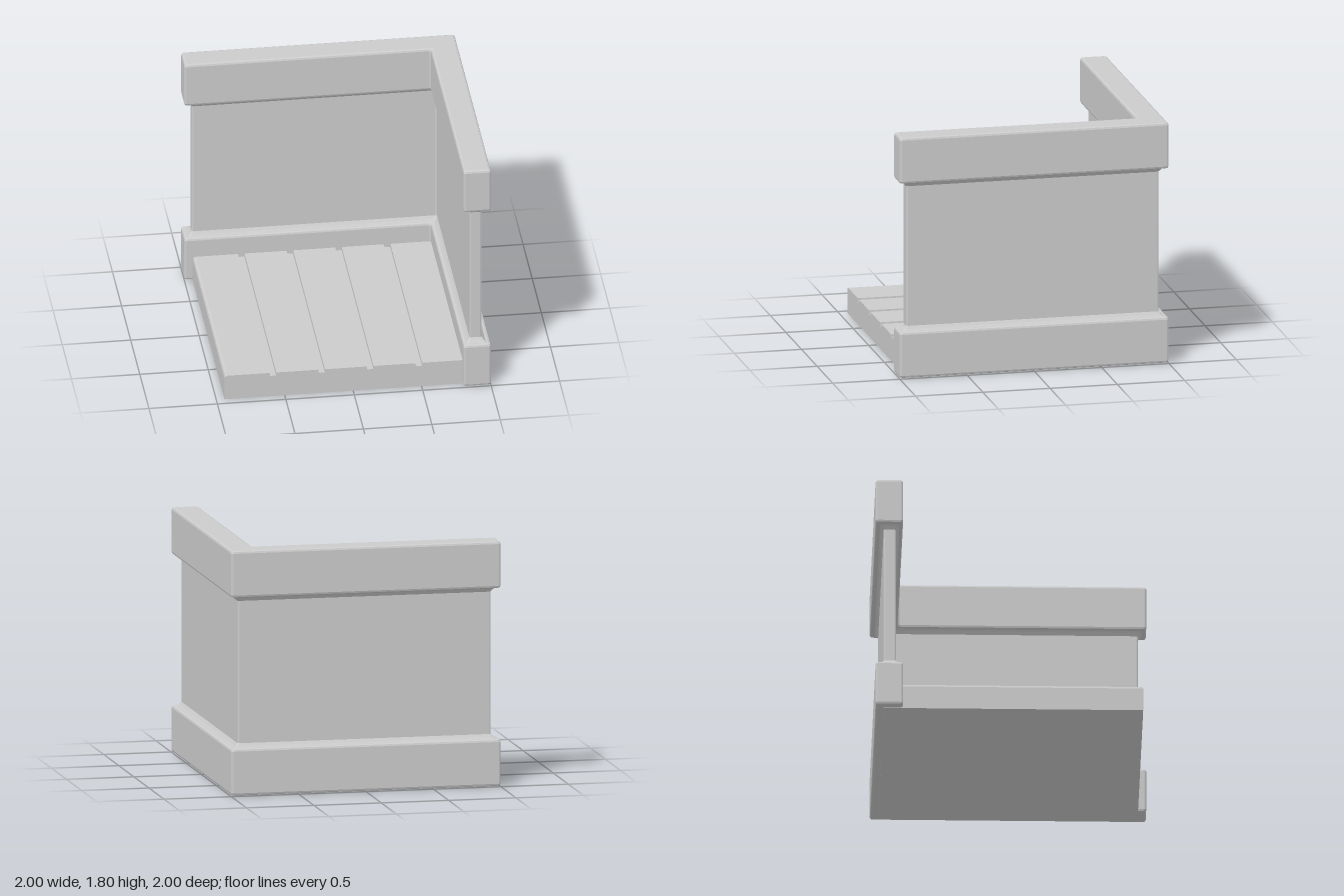
import * as THREE from 'three';

const material = new THREE.MeshStandardMaterial({ color: 0xcccccc, flatShading: true });

// L-shaped outline in x/z, with softened corners; o = outer faces, i = inner faces
function outlineL(o, i, r) {
  const corners = [[-o, -o], [o, -o], [o, o], [i, o], [i, -i], [-o, -i]]
    .map(([x, z]) => new THREE.Vector2(x, z));
  const points = [];
  corners.forEach((p, k) => {
    const u = corners[(k + 5) % 6].clone().sub(p).setLength(r);
    const v = corners[(k + 1) % 6].clone().sub(p).setLength(r);
    points.push(p.clone().add(u));
    points.push(p.clone().addScaledVector(u, 0.29).addScaledVector(v, 0.29));
    points.push(p.clone().add(v));
  });
  return points;
}

// Stack L outlines upwards; each row is [y, outer, inner]
function loftL(name, rows, r) {
  const rings = rows.map(([, o, i]) => outlineL(o, i, r));
  const n = rings[0].length;
  const positions = [];
  const put = (row, k) => positions.push(rings[row][k % n].x, rows[row][0], rings[row][k % n].y);
  for (let row = 0; row < rows.length - 1; row++) {
    for (let k = 0; k < n; k++) {
      put(row, k); put(row + 1, k); put(row + 1, k + 1);
      put(row, k); put(row + 1, k + 1); put(row, k + 1);
    }
  }
  const last = rows.length - 1;
  for (const [a, b, c] of THREE.ShapeUtils.triangulateShape(rings[0], [])) {
    put(0, a); put(0, b); put(0, c);
  }
  for (const [a, b, c] of THREE.ShapeUtils.triangulateShape(rings[last], [])) {
    put(last, a); put(last, c); put(last, b);
  }
  const geometry = new THREE.BufferGeometry();
  geometry.setAttribute('position', new THREE.Float32BufferAttribute(positions, 3));
  geometry.computeVertexNormals();
  const mesh = new THREE.Mesh(geometry, material);
  mesh.name = name;
  return mesh;
}

// Heavy rail with softened upper and lower edges
function rail(name, y0, y1) {
  const soft = 0.018, mid = 0.005;
  return loftL(name, [
    [y0, 1 - soft, 0.8 + soft],
    [y0 + mid, 1 - mid, 0.8 + mid],
    [y0 + soft, 1, 0.8],
    [y1 - soft, 1, 0.8],
    [y1 - mid, 1 - mid, 0.8 + mid],
    [y1, 1 - soft, 0.8 + soft],
  ], 0.015);
}

// Floor slab with a grooved top and a softened left edge
function plankFloor() {
  const top = 0.195, half = 0.94, groove = 0.025;
  const shape = new THREE.Shape();
  shape.moveTo(-half, 0);
  shape.lineTo(half, 0);
  shape.lineTo(half, top);
  for (const x of [0.48, 0.125, -0.23, -0.585]) {
    shape.lineTo(x + 0.024, top);
    shape.lineTo(x + 0.022, top - groove);
    shape.lineTo(x - 0.022, top - groove);
    shape.lineTo(x - 0.024, top);
  }
  shape.lineTo(-half + 0.022, top);
  shape.lineTo(-half + 0.006, top - 0.007);
  shape.lineTo(-half, top - 0.022);
  shape.closePath();
  const geometry = new THREE.ExtrudeGeometry(shape, { depth: 2 * half, bevelEnabled: false });
  geometry.translate(0, 0, -half);
  const mesh = new THREE.Mesh(geometry, material);
  mesh.name = 'plankFloor';
  return mesh;
}

export function createModel() {
  const model = new THREE.Group();
  model.name = 'cornerWallWithFloor';

  model.add(plankFloor());
  model.add(rail('baseRail', 0.004, 0.347));
  model.add(rail('topRail', 1.457, 1.8));

  // Thin wall panel, flaring out where it meets both rails
  model.add(loftL('wallPanel', [
    [0.34, 0.975, 0.818],
    [0.36, 0.955, 0.836],
    [0.38, 0.94, 0.85],
    [1.425, 0.94, 0.85],
    [1.445, 0.955, 0.836],
    [1.465, 0.975, 0.818],
  ], 0.012));

  return model;
}
